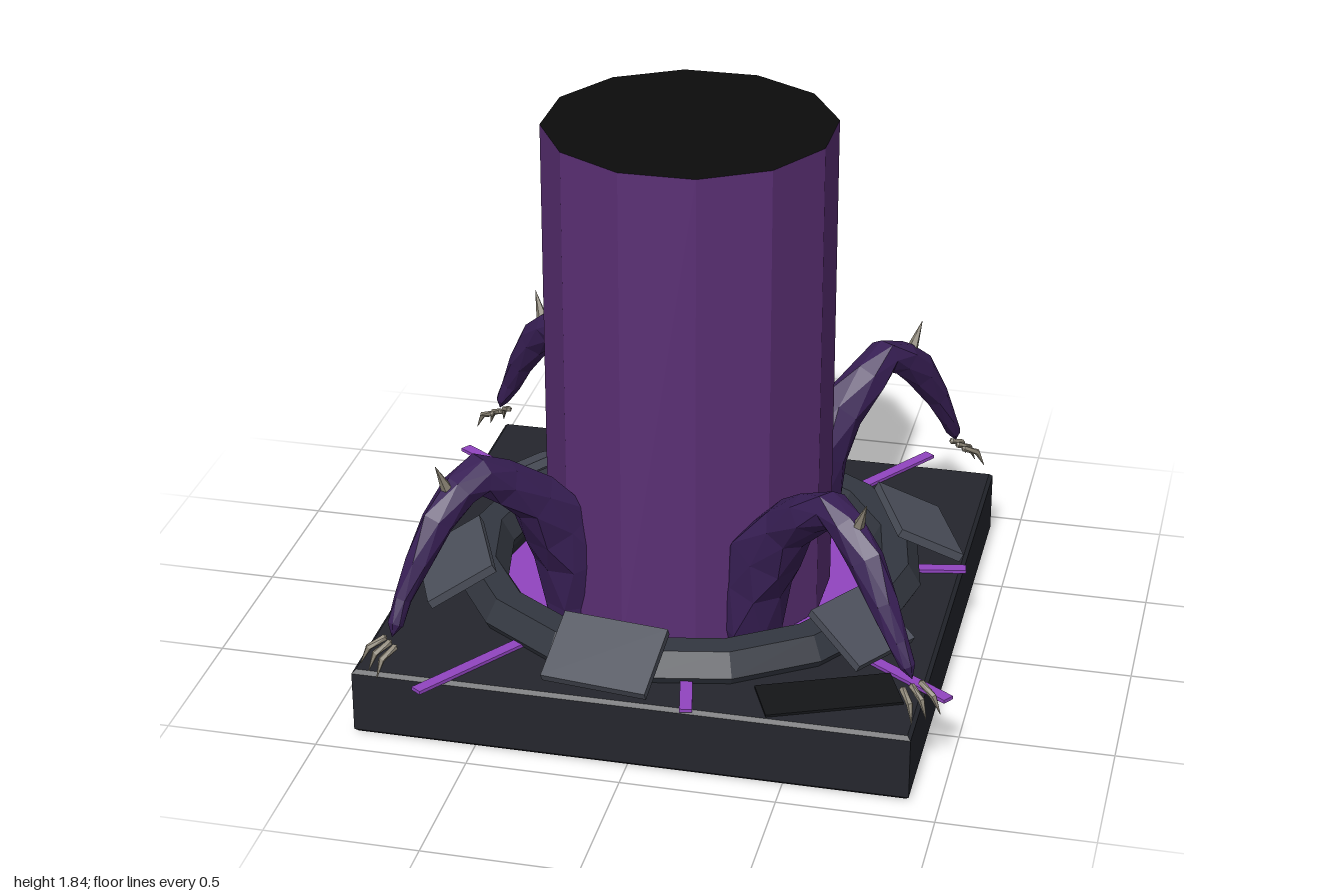
import * as THREE from 'three';

const mat = (color, extra = {}) =>
  new THREE.MeshStandardMaterial({ color, flatShading: true, ...extra });
const stone = mat(0x24262d);
const rimStone = mat(0x333740);
const slabStone = mat(0x4b4f5a);
const scorch = mat(0x141518);
const glow = mat(0x9145c0, { side: THREE.DoubleSide });
const beam = mat(0x5a2f74, { side: THREE.DoubleSide });
const black = mat(0x0c0c0c, { side: THREE.DoubleSide });
const hide = mat(0x381f55);
const horn = mat(0x8a8374);

const rad = THREE.MathUtils.degToRad;

function add(parent, name, geometry, material, x = 0, y = 0, z = 0) {
  const mesh = new THREE.Mesh(geometry, material);
  mesh.name = name;
  mesh.position.set(x, y, z);
  parent.add(mesh);
  return mesh;
}

function seeded(seed) {
  return () => (seed = (seed * 16807) % 2147483647) / 2147483647;
}

// Faceted limb through rows of [lateral, height, outward, radius]
function limb(rows, sides, rough = 0) {
  const rand = seeded(77);
  const centres = rows.map(([x, y, z]) => new THREE.Vector3(x, y, z));
  const positions = [], index = [];
  rows.forEach((row, i) => {
    const tangent = centres[Math.min(i + 1, rows.length - 1)].clone()
      .sub(centres[Math.max(i - 1, 0)]).normalize();
    const normal = tangent.clone().cross(new THREE.Vector3(1, 0, 0)).normalize();
    const side = normal.clone().cross(tangent);
    for (let j = 0; j < sides; j++) {
      const a = ((j + (i % 2) * 0.5) / sides) * Math.PI * 2;
      const r = row[3] * (1 + rough * (rand() - 0.5));
      const p = centres[i].clone()
        .addScaledVector(side, Math.cos(a) * r)
        .addScaledVector(normal, Math.sin(a) * r);
      positions.push(p.x, p.y, p.z);
      if (i < rows.length - 1) {
        const k = (j + 1) % sides, n = i * sides, m = n + sides;
        // Diagonal follows the half-step twist of alternate rows
        if (i % 2) index.push(n + j, n + k, m + k, n + j, m + k, m + j);
        else index.push(n + j, n + k, m + j, n + k, m + k, m + j);
      }
    }
  });
  const g = new THREE.BufferGeometry();
  g.setAttribute('position', new THREE.Float32BufferAttribute(positions, 3));
  g.setIndex(index);
  g.computeVertexNormals();
  return g;
}

function polygon(PathType, radius, sides) {
  const path = new PathType();
  for (let i = 0; i < sides; i++) {
    const a = (i / sides) * Math.PI * 2;
    path[i ? 'lineTo' : 'moveTo'](radius * Math.cos(a), radius * Math.sin(a));
  }
  path.closePath();
  return path;
}

export function createModel() {
  const model = new THREE.Group();
  model.name = 'portal';

  // Square plinth with a round well
  const h = 0.89;
  const square = new THREE.Shape([
    new THREE.Vector2(-h, -h), new THREE.Vector2(h, -h),
    new THREE.Vector2(h, h), new THREE.Vector2(-h, h),
  ]);
  square.holes.push(polygon(THREE.Path, 0.66, 16));
  const plinth = new THREE.ExtrudeGeometry(square, {
    depth: 0.206, bevelSize: 0.012, bevelThickness: 0.012, bevelSegments: 1,
  });
  plinth.rotateX(-Math.PI / 2);
  add(model, 'plinth', plinth, stone, 0, 0.012, 0);

  // Glowing pool and the stone rim around it
  const pool = new THREE.CircleGeometry(0.65, 16).rotateX(-Math.PI / 2);
  add(model, 'pool', pool, glow, 0, 0.17, 0);
  const rim = new THREE.TorusGeometry(0.7, 0.086, 6, 16).rotateX(Math.PI / 2);
  add(model, 'rim', rim, rimStone, 0, 0.256, 0);

  // Column of light with a dark top
  const column = new THREE.CylinderGeometry(0.475, 0.475, 1.655, 12, 1, true);
  add(model, 'column', column.rotateY(rad(15)), beam, 0, 1.0075, 0);
  const cap = new THREE.CircleGeometry(0.475, 12).rotateX(-Math.PI / 2);
  add(model, 'columnTop', cap.rotateY(rad(15)), black, 0, 1.835, 0);

  // Tilted slabs leaning on the rim
  for (let i = 0; i < 6; i++) {
    const small = i % 3 === 1;
    const pivot = new THREE.Group();
    pivot.name = 'slabMount';
    pivot.rotation.y = rad(-7 + i * 60 + (small ? 4 : 0));
    model.add(pivot);
    const slab = add(pivot, 'slab',
      new THREE.BoxGeometry(small ? 0.26 : 0.35, 0.03, 0.245), slabStone, 0, 0.327, 0.79);
    slab.rotation.x = 0.5;
  }

  // Glowing cracks across the plinth: [angle, outer radius]
  for (const [angle, outer] of [[12, 0.93], [56, 1.185], [101, 0.93], [146, 1.185]]) {
    for (const half of [0, 180]) {
      const g = new THREE.BoxGeometry(0.04, 0.012, outer - 0.64);
      g.translate(0, 0, (outer + 0.64) / 2);
      add(model, 'crack', g, glow, 0, 0.235, 0).rotation.y = rad(angle + half);
    }
  }

  // Dark flagstone lying on one corner
  add(model, 'flagstone', new THREE.BoxGeometry(0.44, 0.012, 0.18), scorch,
    0.61, 0.232, 0.715).rotation.y = 0.4;

  // Four clawed legs climbing out of the pool
  const leg = limb([
    [-0.03, 0.13, 0.42, 0.001], [-0.03, 0.135, 0.42, 0.085], [-0.03, 0.24, 0.43, 0.115],
    [-0.025, 0.4, 0.45, 0.12], [-0.02, 0.54, 0.5, 0.115], [-0.01, 0.66, 0.6, 0.09],
    [0, 0.76, 0.71, 0.075], [0.015, 0.81, 0.8, 0.065], [0.025, 0.785, 0.88, 0.06],
    [0.035, 0.7, 0.97, 0.055], [0.05, 0.58, 1.05, 0.045], [0.06, 0.47, 1.11, 0.032],
    [0.075, 0.4, 1.15, 0.024], [0.08, 0.36, 1.165, 0.001],
  ], 7, 0.3);
  const spike = limb([
    [0.03, 0.75, 0.9, 0.028], [0.032, 0.81, 0.93, 0.018], [0.034, 0.89, 0.965, 0.001],
  ], 5);
  for (let i = 0; i < 4; i++) {
    const group = new THREE.Group();
    group.name = 'leg';
    group.rotation.y = rad(45 + i * 90);
    model.add(group);
    add(group, 'limb', leg, hide);
    add(group, 'kneeSpike', spike, horn);
    for (const s of [-1, 0, 1]) {
      const x = 0.075 + s * 0.035;
      const claw = limb([
        [x, 0.345, 1.165, 0.001], [x, 0.34, 1.17, 0.011],
        [x + s * 0.01, 0.315, 1.225, 0.011], [x + s * 0.02, 0.26, 1.25, 0.001],
      ], 5);
      add(group, 'claw', claw, horn);
    }
  }
  return model;
}
